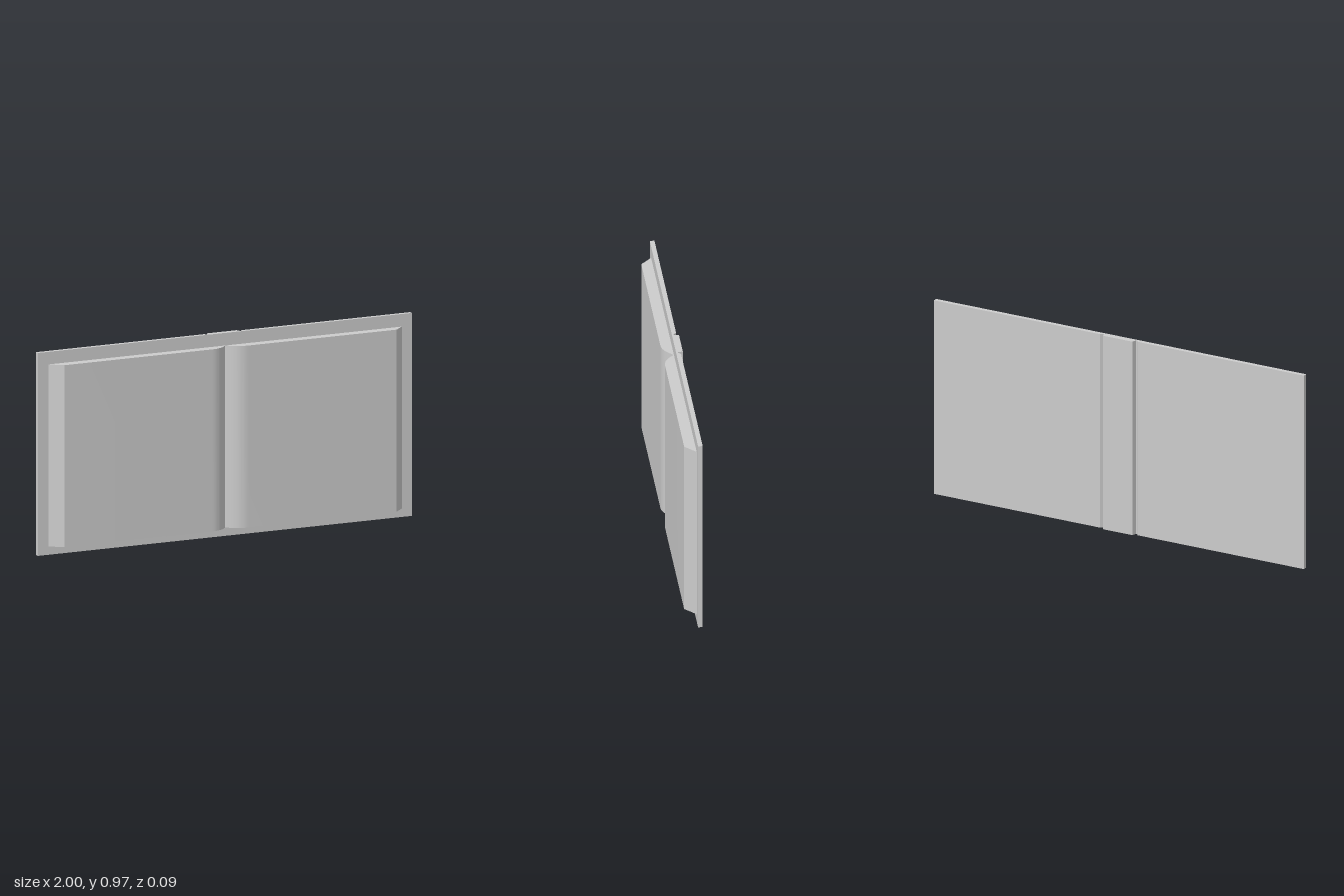
import * as THREE from 'three';
import { toCreasedNormals } from 'three/addons/utils/BufferGeometryUtils.js';

const material = new THREE.MeshStandardMaterial({ color: 0xcccccc });

// Extrude a plan outline (x, -z) upward from y0 to y1
function upright(name, shape, y0, y1) {
  const extruded = new THREE.ExtrudeGeometry(shape, { depth: y1 - y0, bevelEnabled: false, curveSegments: 16 });
  extruded.rotateX(-Math.PI / 2).translate(0, y0, 0);
  const mesh = new THREE.Mesh(toCreasedNormals(extruded, 0.4), material);
  mesh.name = name;
  return mesh;
}

export function createModel() {
  const book = new THREE.Group();
  book.name = 'openBook';

  // Cover: two flat boards, hinge grooves and a raised spine in one outline
  const front = 0.01, board = 0.032, groove = 0.019, spine = 0.043;
  const half = [[0.08, spine], [0.085, groove], [0.09, groove], [0.102, board], [1, board], [1, front]];
  const outline = [...half, ...half.map(([x, d]) => [-x, d]).reverse()];
  const cover = new THREE.Shape(outline.map(([x, d]) => new THREE.Vector2(x, d)));
  book.add(upright('cover', cover, 0, 0.97));

  // Page blocks: slanted fore edge, flat face, curve down into the gutter
  for (const [name, s] of [['leftPages', 1], ['rightPages', -1]]) {
    const pages = new THREE.Shape();
    pages.moveTo(0, front);
    pages.lineTo(s * 0.945, front);
    pages.lineTo(s * 0.888, -0.043);
    pages.lineTo(s * 0.1, -0.043);
    pages.bezierCurveTo(s * 0.055, -0.043, s * 0.028, -0.022, 0, front);
    book.add(upright(name, pages, 0.04, 0.91));
  }
  return book;
}
